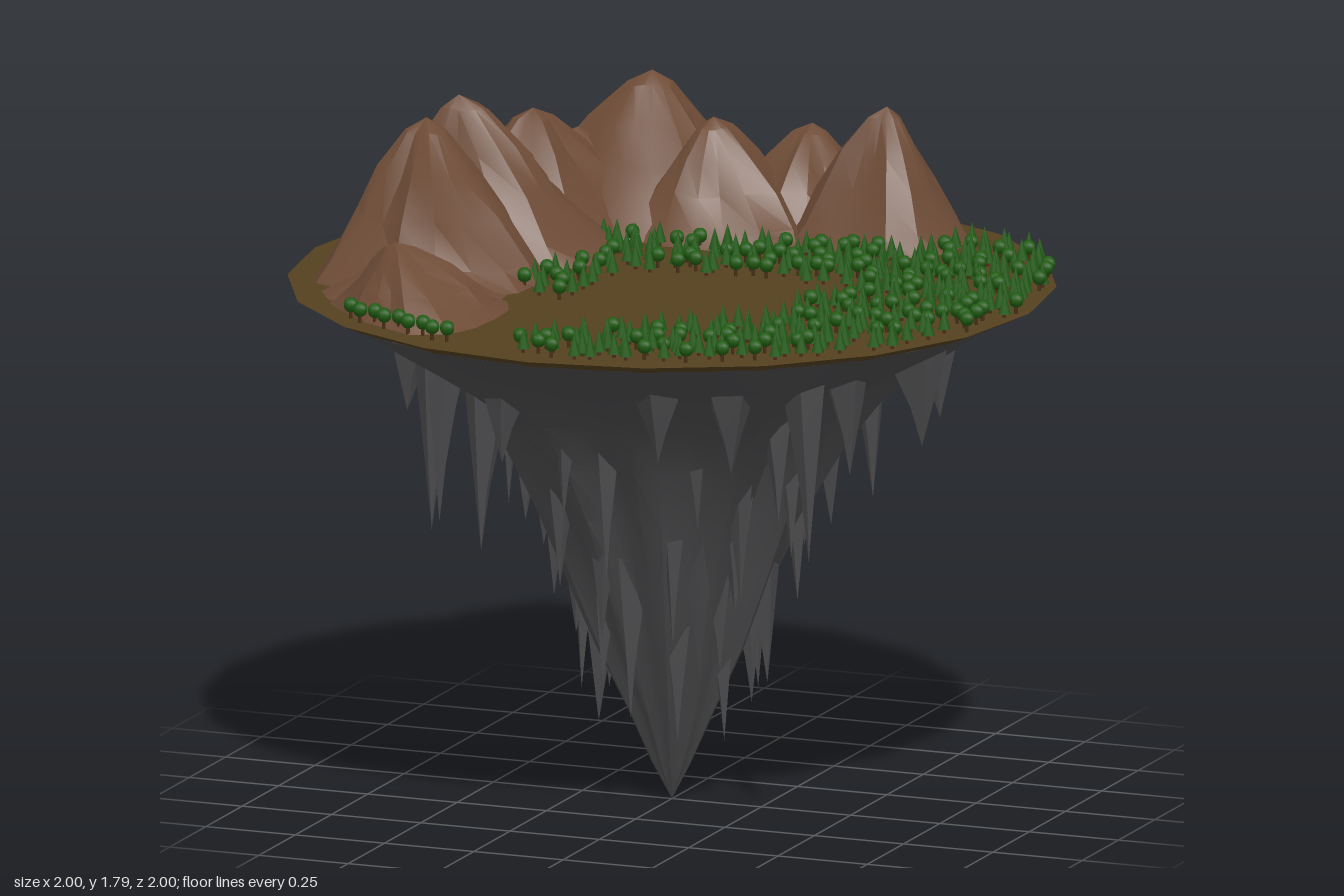
import * as THREE from 'three';
import { mergeGeometries, toCreasedNormals } from 'three/addons/utils/BufferGeometryUtils.js';

const GROUND = 1.38;

// Small seeded random generator
function seeded(seed) {
  let s = seed;
  return () => (s = (s * 16807) % 2147483647) / 2147483647;
}

// Moves every vertex of a geometry by a rule
function warp(geo, rule) {
  const p = geo.attributes.position, v = new THREE.Vector3();
  for (let i = 0; i < p.count; i++) {
    rule(v.fromBufferAttribute(p, i));
    p.setXYZ(i, v.x, v.y, v.z);
  }
  return geo;
}

const points = list => list.map(([x, y]) => new THREE.Vector2(x, y));

// Radius and height of the rock, from tip to rim
const ROCK = [[0, 0], [0.05, 0.1], [0.11, 0.24], [0.19, 0.42], [0.265, 0.62], [0.335, 0.8],
  [0.41, 0.95], [0.5, 1.08], [0.62, 1.175], [0.78, 1.26], [0.955, 1.36]];

function rockRadius(y) {
  const i = Math.max(1, ROCK.findIndex(p => y <= p[1]));
  const [r0, y0] = ROCK[i - 1], [r1, y1] = ROCK[i];
  return r0 + (r1 - r0) * (y - y0) / (y1 - y0);
}

// Fluted, irregular underside
function rockBody() {
  const geo = warp(new THREE.LatheGeometry(points(ROCK), 40), v => {
    const a = Math.atan2(v.z, v.x);
    const fade = v.y > 1.3 ? 0 : v.y > 1.2 ? 0.5 : 1;
    const k = 1 + fade * (0.05 * Math.sin(5 * a + 3 * v.y) + 0.06 * Math.sin(11 * a + 1 - 2 * v.y));
    v.x *= k;
    v.z *= k;
  });
  return toCreasedNormals(geo, 0.6);
}

// Hanging spike: an upside-down cone whose top spreads inwards to merge with the rock
function spike(x, z, top, tip, w, sides) {
  const h = top - tip;
  const geo = new THREE.ConeGeometry(w, h, sides, 3).rotateX(Math.PI).rotateY(x * 9);
  warp(geo, v => {
    const t = v.y / h + 0.5;
    v.x = v.x * (1 + 0.6 * t) - 0.6 * w * t * t;
    if (t > 0.1 && t < 0.5) v.z *= 0.85;
  });
  geo.rotateY(-Math.atan2(z, x));
  return geo.translate(x, (top + tip) / 2, z).toNonIndexed();
}

function spikes() {
  const rand = seeded(11);
  // x, z, top, tip, width of the large outer spikes
  const big = [
    [0.7, 0, 1.31, 1.0, 0.08], [0.57, 0.46, 1.28, 0.78, 0.055], [0.41, 0.6, 1.3, 1.03, 0.085],
    [0.22, 0.64, 1.3, 1.05, 0.09], [-0.66, 0.2, 1.31, 1.02, 0.08], [-0.51, 0.4, 1.27, 0.76, 0.055],
    [-0.46, 0.47, 1.26, 0.8, 0.04], [-0.24, 0.58, 1.28, 1.0, 0.08], [-0.38, 0.38, 1.22, 0.71, 0.055],
    [0.3, -0.62, 1.3, 0.99, 0.08], [-0.3, -0.56, 1.28, 0.9, 0.07], [0.02, -0.66, 1.3, 1.02, 0.08],
    [-0.6, -0.34, 1.29, 0.97, 0.07], [0.62, -0.32, 1.3, 1.0, 0.07], [0.4, -0.4, 1.24, 0.75, 0.055],
    [0.62, 0.3, 1.29, 0.98, 0.06]];
  const parts = big.map(b => spike(...b, 5));
  // smaller spikes spiralling up the rock, rooted inside it
  const count = 44;
  for (let i = 0; i < count; i++) {
    const y = 0.38 + 0.66 * i / count + 0.06 * rand();
    const a = i * 2.4 + 0.5 * rand(), r = rockRadius(y) * 0.96;
    const length = 0.16 + 0.14 * rand();
    parts.push(spike(r * Math.cos(a), r * Math.sin(a), y + 0.14, y - length, 0.035 + 0.02 * rand(), 4));
  }
  return toCreasedNormals(mergeGeometries(parts), 0.5);
}

// Mountain: a cone skewed to its peak, with a squarish foot and craggy ridges
const SLOPE = points([[1, 0], [0.85, 0.15], [0.62, 0.42], [0.4, 0.68], [0.17, 0.92], [0, 1]]);

function mountain([px, py, pz, x0, x1, z0, z1], seed) {
  const base = GROUND - 0.008;
  const geo = warp(new THREE.LatheGeometry(SLOPE, 16), v => {
    const a = Math.atan2(v.z, v.x), f = Math.hypot(v.x, v.z);
    const c = Math.cos(a), s = Math.sin(a);
    const square = 1 / Math.pow(Math.abs(c) ** 3 + Math.abs(s) ** 3, 1 / 3);
    let bx = (x0 + x1) / 2 + (x1 - x0) / 2 * c * square;
    let bz = (z0 + z1) / 2 + (z1 - z0) / 2 * s * square;
    const over = Math.max(1, Math.hypot(bx, bz) / 0.93);
    bx /= over;
    bz /= over;
    const twist = a + 1.2 * v.y;
    const crag = Math.sin(3 * twist + seed * 2) + 0.8 * Math.sin(5 * a + seed);
    const k = f * (1 + 0.55 * f * (1 - f) * crag);
    const lift = 0.12 * v.y * (1 - v.y) * Math.sin(4 * a + seed * 3);
    v.set(px + (bx - px) * k, base + (py - base) * (v.y + lift), pz + (bz - pz) * k);
  });
  return toCreasedNormals(geo, 0.45);
}

// Peak x, y, z, then the foot's x and z limits: main peaks, then the shoulders between them
const PEAKS = [
  [-0.63, 1.79, 0.14, -0.92, -0.3, -0.05, 0.43],
  [-0.65, 1.79, -0.13, -0.92, -0.24, -0.44, 0.06],
  [-0.54, 1.56, 0.58, -0.74, -0.25, 0.3, 0.85],
  [-0.56, 1.7, -0.42, -0.88, -0.28, -0.74, -0.16],
  [-0.34, 1.76, -0.7, -0.68, 0, -0.95, -0.36],
  [-0.12, 1.68, -0.58, -0.34, 0.16, -0.82, -0.34],
  [0.08, 1.64, -0.77, -0.18, 0.3, -0.95, -0.52],
  [0.35, 1.74, -0.62, 0.08, 0.56, -0.82, -0.44],
  [-0.6, 1.66, -0.28, -0.9, -0.38, -0.5, -0.08],
  [-0.78, 1.58, 0.04, -0.93, -0.5, -0.25, 0.2],
  [-0.5, 1.62, -0.58, -0.82, -0.3, -0.86, -0.34],
  [-0.12, 1.55, -0.76, -0.4, 0.25, -0.94, -0.55],
  [-0.6, 1.48, 0.38, -0.82, -0.32, 0.15, 0.6],
  [0.2, 1.52, -0.7, 0, 0.42, -0.9, -0.5]];

// Outline of the wood, as x and z
const WOOD = points([[-0.34, -0.35], [-0.1, -0.36], [0.1, -0.42], [0.35, -0.45], [0.52, -0.46],
  [0.57, -0.69], [0.79, -0.59], [0.92, -0.35], [0.97, 0], [0.93, 0.25], [0.81, 0.53], [0.65, 0.69],
  [0.45, 0.83], [0.2, 0.91], [0, 0.94], [-0.1, 0.87], [0.1, 0.66], [0.28, 0.5], [0.46, 0.38],
  [0.44, 0.15], [0.56, 0.02], [0.45, -0.06], [0.25, -0.12], [0.1, -0.09], [-0.12, -0.06],
  [-0.17, 0.08], [-0.17, 0.32], [-0.33, 0.26], [-0.29, 0], [-0.22, -0.12]]);

function inside(x, y, poly) {
  let hit = false;
  poly.forEach((a, i) => {
    const b = poly[(i + 1) % poly.length];
    if ((a.y > y) !== (b.y > y) && x < a.x + (b.x - a.x) * (y - a.y) / (b.y - a.y)) hit = !hit;
  });
  return hit;
}

// Tree spots kept a little apart, plus the short row by the front mountain
function treeSpots() {
  const rand = seeded(5), spots = [];
  for (let i = 0; i < 12000; i++) {
    const x = rand() * 2 - 1, z = rand() * 2 - 1;
    if (!inside(x, z, WOOD) || spots.some(s => Math.hypot(s.x - x, s.z - z) < 0.039)) continue;
    spots.push({ x, z, round: rand() < 0.35 });
  }
  for (let i = 0; i < 9; i++) {
    const t = i / 8;
    spots.push({ x: -0.61 + 0.33 * t, z: 0.71 + 0.15 * t + (i % 2) * 0.02, round: true });
  }
  return spots;
}

export function createModel() {
  const model = new THREE.Group();
  const add = (name, geo, color, parent = model) => {
    const mesh = new THREE.Mesh(geo, new THREE.MeshStandardMaterial({ color }));
    mesh.name = name;
    parent.add(mesh);
  };

  // Rock underside
  add('rock', rockBody(), 0x4a4a4c);
  add('hangingSpikes', spikes(), 0x4a4a4c);

  // Ground disc with a bevelled rim
  const ground = new THREE.CylinderGeometry(1, 0.95, 0.024, 20).translate(0, GROUND - 0.012, 0);
  add('ground', toCreasedNormals(ground, 0.6), 0x54401f);

  // Mountain range
  const range = new THREE.Group();
  range.name = 'mountains';
  PEAKS.forEach((peak, i) => add('mountain' + (i + 1), mountain(peak, i + 1), 0x6e4c37, range));
  model.add(range);

  // Round and pointed trees with trunks
  const round = new THREE.SphereGeometry(0.02, 8, 6).translate(0, 0.036, 0);
  const pointed = new THREE.ConeGeometry(0.017, 0.058, 7).translate(0, 0.04, 0);
  const trunk = new THREE.CylinderGeometry(0.005, 0.005, 0.024, 5, 1, true).translate(0, 0.01, 0);
  const spots = treeSpots();
  const place = (geo, list) => mergeGeometries(list.map(s => geo.clone().translate(s.x, GROUND, s.z)));
  add('roundTrees', place(round, spots.filter(s => s.round)), 0x1f5a10);
  add('pointedTrees', place(pointed, spots.filter(s => !s.round)), 0x1f5a10);
  add('trunks', place(trunk, spots), 0x4a3018);
  return model;
}
